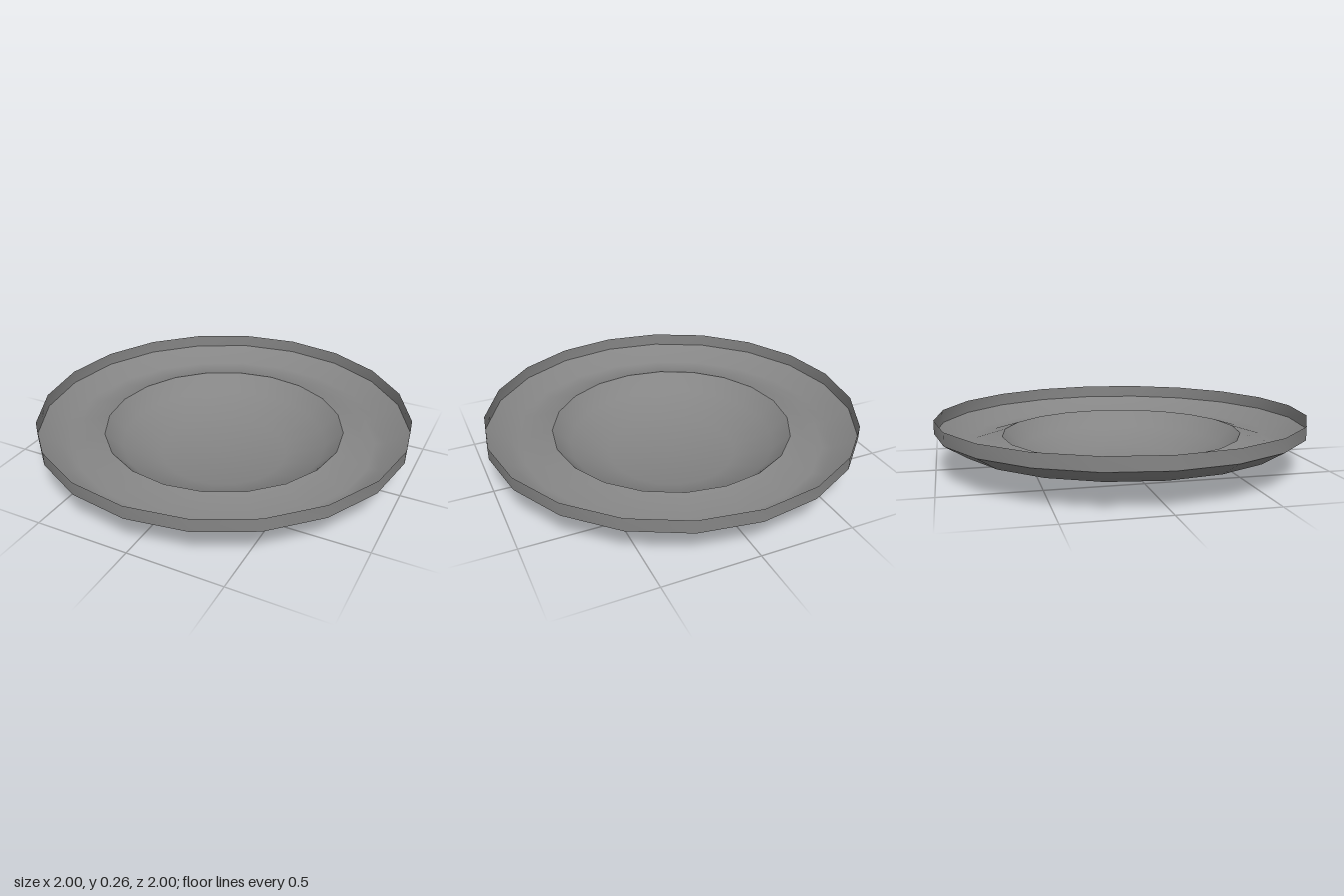
import * as THREE from 'three';
import { toCreasedNormals } from 'three/addons/utils/BufferGeometryUtils.js';

const SIDES = 20;

// Thin-walled plate section as [radius, height], centre to lip
const PROFILE = [
  [0, 0], [0.35, 0],            // flat floor
  [0.56, 0.075], [0.65, 0.163], // well wall up to the raised ridge
  [0.82, 0.11], [0.88, 0.12],   // shallow groove around the well
  [1, 0.195], [1, 0.265],       // flared rim and upright lip
];

export function createModel() {
  const group = new THREE.Group();
  group.name = 'dish';

  const points = PROFILE.map(([r, y]) => new THREE.Vector2(r, y));
  // Smooth shading, with sharp edges at the ridge and the base of the lip
  const geometry = toCreasedNormals(new THREE.LatheGeometry(points, SIDES), THREE.MathUtils.degToRad(45));
  const material = new THREE.MeshStandardMaterial({ color: 0x858585, side: THREE.DoubleSide });

  const plate = new THREE.Mesh(geometry, material);
  plate.name = 'plate';
  group.add(plate);
  return group;
}
